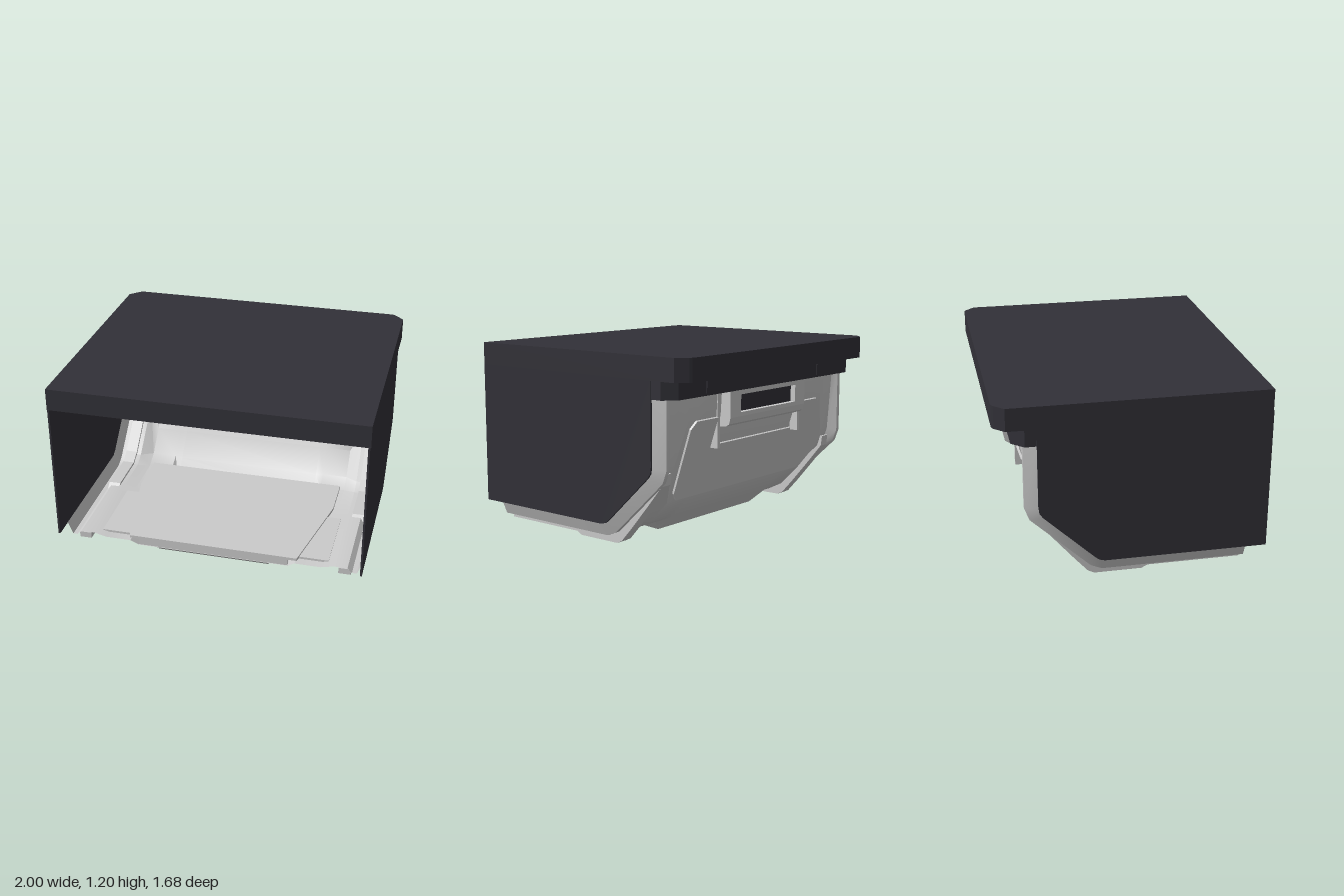
import * as THREE from 'three';
import { toCreasedNormals } from 'three/addons/utils/BufferGeometryUtils.js';

const grey = new THREE.MeshStandardMaterial({ color: 0xcccccc, side: THREE.DoubleSide });
const dark = new THREE.MeshStandardMaterial({ color: 0x323138, side: THREE.DoubleSide });

export function createModel() {
  const group = new THREE.Group();

  const add = (name, geometry, material, x = 0, y = 0, z = 0) => {
    const mesh = new THREE.Mesh(geometry, material);
    mesh.name = name;
    mesh.position.set(x, y, z);
    group.add(mesh);
    return mesh;
  };
  const box = (name, material, [w, h, d], [x, y, z]) =>
    add(name, new THREE.BoxGeometry(w, h, d), material, x, y, z);
  const shapeOf = (pts) => new THREE.Shape(pts.map(([a, b]) => new THREE.Vector2(a, b)));
  const extrude = (shape, depth) =>
    new THREE.ExtrudeGeometry(shape, { depth, bevelEnabled: false });
  // outline in (x, z), from y = top downwards
  const plan = (name, material, pts, bottom, top) =>
    add(name, extrude(shapeOf(pts), top - bottom).rotateX(Math.PI / 2), material, 0, top);
  // outline in (z, y), centred on x
  const side = (name, material, pts, width, x) =>
    add(name, extrude(shapeOf(pts), width).rotateY(-Math.PI / 2), material, x + width / 2);
  // a half outline and its reflection in x
  const both = (pts) => [...pts, ...pts.map(([x, z]) => [-x, z]).reverse()];

  // Roof slab with clipped back corners, and the collar below its back edge
  plan('roof', dark, both([[1, 0.835], [1, -0.77], [0.94, -0.83], [0.925, -0.84], [0.905, -0.843]]), 1.065, 1.207);
  plan('rearCollar', dark, both([[0.99, -0.59], [0.99, -0.66], [0.92, -0.735]]), 0.955, 1.07);

  // Tub: profiles in (z, y) lofted across x
  const edge = [[0.71, 0.165], [0.1, 0.165], [-0.2, 0.165], [-0.24, 0.19], [-0.55, 0.485], [-0.585, 0.55], [-0.59, 0.96]];
  const rim = [[0.71, 0.08], [0.1, 0.08], [-0.2, 0.08], [-0.27, 0.11], [-0.64, 0.46], [-0.67, 0.54], [-0.67, 0.96]];
  const gutter = [[0.71, 0.11], [0.1, 0.11], [-0.2, 0.11], [-0.28, 0.15], [-0.57, 0.43], [-0.61, 0.55], [-0.64, 0.96]];
  const back = [[0.71, 0.09], [0.1, 0.09], [-0.24, 0.09], [-0.34, 0.14], [-0.48, 0.28], [-0.65, 0.8], [-0.66, 0.96]];
  const belly = [[0.69, 0.05], [0.1, 0.05], [-0.22, 0.03], [-0.34, 0.13], [-0.48, 0.28], [-0.65, 0.8], [-0.66, 0.96]];
  const halfColumns = [[0.985, edge], [0.95, rim], [0.92, rim], [0.89, gutter],
    [0.8, gutter], [0.72, back], [0.55, back], [0.5, belly]];
  const columns = [...halfColumns.map(([x, p]) => [-x, p]), ...halfColumns.slice().reverse()];
  const positions = [];
  const index = [];
  const rows = rim.length;
  columns.forEach(([x, profile], i) => {
    profile.forEach(([z, y], j) => {
      positions.push(x, y, z);
      if (i === 0 || j === 0) return;
      const d = i * rows + j, c = d - 1, b = d - rows, a = b - 1;
      index.push(a, b, c, b, d, c);
    });
  });
  const tub = new THREE.BufferGeometry();
  tub.setAttribute('position', new THREE.Float32BufferAttribute(positions, 3));
  tub.setIndex(index);
  add('tub', toCreasedNormals(tub, 0.5), grey);

  // Notched plate on the sloping back wall
  const plate = shapeOf(both([[0.66, 0], [0.7, 0.05], [0.7, 0.48], [0.66, 0.53], [0.45, 0.53], [0.45, 0.34]]));
  add('backPlate', extrude(plate, 0.014), grey, 0, 0.29, -0.502)
    .rotation.x = -Math.atan2(0.17, 0.52);

  // Belly pan below, flat floor above, closed at the front
  side('bellyPan', grey, [[0.69, 0.05], [0.66, 0.02], [0.62, 0.003], [-0.12, 0.003],
    [-0.15, 0.03], [-0.15, 0.05]], 0.74, 0);
  plan('floor', grey, both([[0.56, 0.69], [0.69, 0.05], [0.69, -0.25]]), 0.097, 0.115);
  box('floorFront', grey, [1, 0.055, 0.02], [0, 0.075, 0.675]);

  // Rear window: frame with a bevelled sill, dark pane, and the panel inside
  const frame = shapeOf([[-0.41, 0.79], [0.41, 0.79], [0.41, 0.955], [-0.41, 0.955]]);
  frame.holes.push(new THREE.Path([[-0.3, 0.815], [-0.3, 0.925], [0.3, 0.925], [0.3, 0.815]]
    .map(([x, y]) => new THREE.Vector2(x, y))));
  add('windowFrame', extrude(frame, 0.08), grey, 0, 0, -0.725);
  side('windowSill', grey, [[-0.64, 0.79], [-0.725, 0.79], [-0.715, 0.75], [-0.69, 0.735], [-0.64, 0.73]], 0.82, 0);
  box('windowPane', dark, [0.62, 0.13, 0.02], [0, 0.87, -0.68]);
  box('innerPanel', dark, [0.82, 0.36, 0.02], [0, 0.86, -0.59]);

  for (const s of [-1, 1]) {
    // Side panel
    side('sidePanel', dark, [[0.84, 1.07], [0.84, 0.16], [-0.19, 0.16], [-0.225, 0.17],
      [-0.25, 0.19], [-0.565, 0.49], [-0.585, 0.52], [-0.59, 0.56], [-0.59, 1.07]], 0.012, s * 0.99);

    // Skid rail along the floor and up the slope
    side('skidRail', grey, [[0.69, 0.09], [0.69, 0.05], [0.1, 0.05], [0.06, 0.03], [-0.24, 0.03],
      [-0.28, 0.05], [-0.36, 0.14], [-0.49, 0.295], [-0.6, 0.43], [-0.61, 0.5], [-0.57, 0.5],
      [-0.55, 0.44], [-0.28, 0.17], [-0.2, 0.125], [0.1, 0.125], [0.14, 0.09]], 0.08, s * 0.87);

    // Floor wells either side of the belly
    box('floorWell', grey, [0.2, 0.03, 0.5], [s * 0.66, 0.09, 0.4]);
    box('wellInset', grey, [0.14, 0.012, 0.4], [s * 0.66, 0.073, 0.4]);

    // Window post, collar latch and stud
    box('windowPost', grey, [0.025, 0.36, 0.06], [s * 0.44, 0.78, -0.63]);
    box('latch', dark, [0.12, 0.08, 0.16], [s * 0.6, 1.01, -0.66]);
    add('stud', new THREE.CylinderGeometry(0.015, 0.015, 0.06, 12).rotateZ(Math.PI / 2),
      grey, s * 0.78, 0.67, -0.59);
  }
  return group;
}
